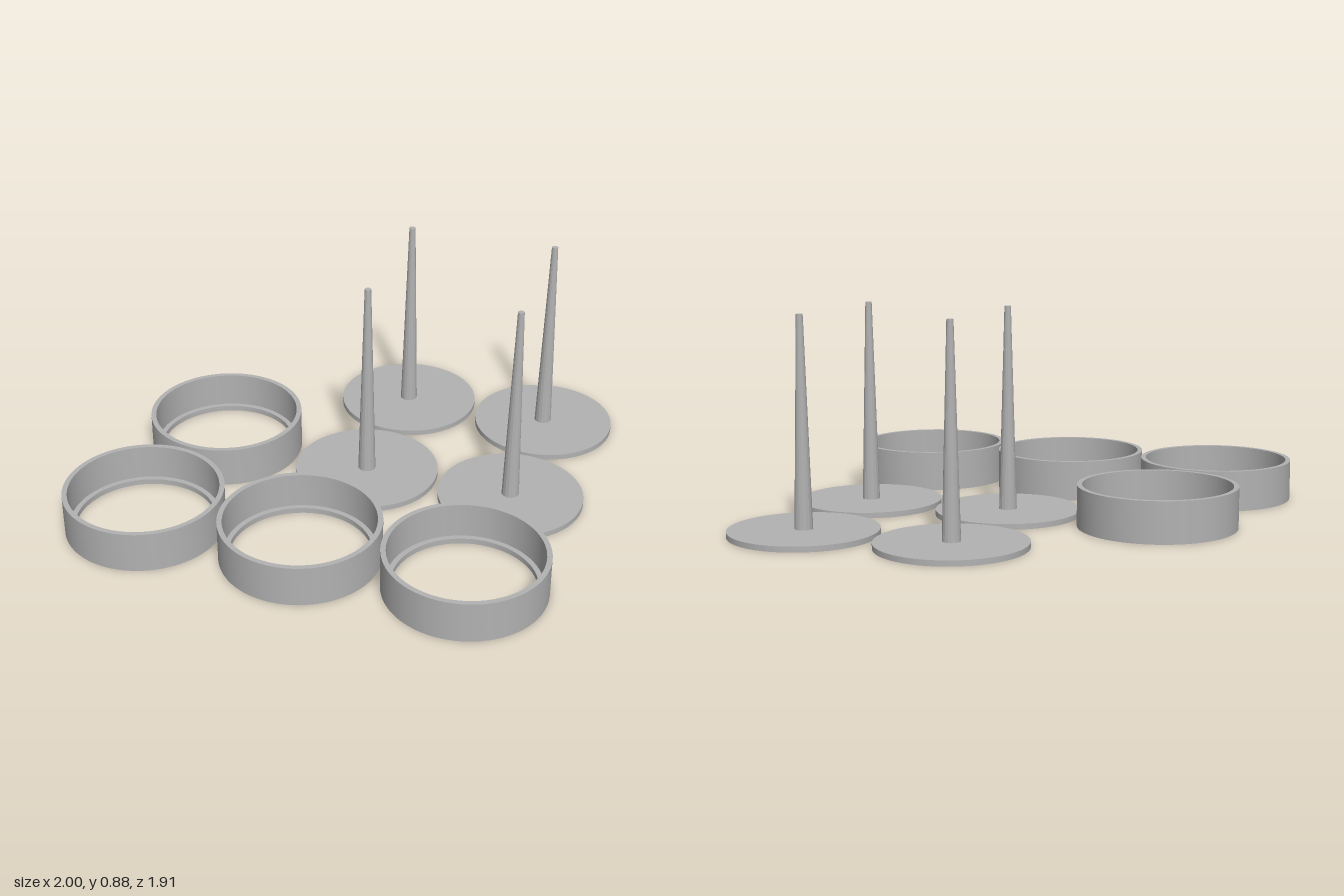
import * as THREE from 'three';
import { toCreasedNormals } from 'three/addons/utils/BufferGeometryUtils.js';

const RING_R = 0.327, RING_H = 0.171;
const PLATE_R = 0.304, PLATE_H = 0.023, TOP = 0.875;

export function createModel() {
  const model = new THREE.Group();
  const grey = new THREE.MeshStandardMaterial({ color: 0xb2b2b2 });
  grey.name = 'plain grey';

  // Ring wall with a narrow ledge inside its lower edge
  const profile = [
    [0.284, 0], [RING_R, 0], [RING_R, RING_H], [0.306, RING_H],
    [0.306, PLATE_H], [0.284, PLATE_H], [0.284, 0],
  ].map(([r, y]) => new THREE.Vector2(r, y));
  const ringGeo = toCreasedNormals(new THREE.LatheGeometry(profile, 96), 0.5);

  // Round base plate and tapered, faceted spike
  const plateGeo = new THREE.CylinderGeometry(PLATE_R, PLATE_R, PLATE_H, 96);
  plateGeo.translate(0, PLATE_H / 2, 0);
  const spikeH = TOP - PLATE_H;
  const spikeGeo = toCreasedNormals(new THREE.CylinderGeometry(0.0135, 0.037, spikeH, 16), 0.3);
  spikeGeo.translate(0, PLATE_H + spikeH / 2, 0);

  const add = (parent, geometry, name) => {
    const mesh = new THREE.Mesh(geometry, grey);
    mesh.name = name;
    parent.add(mesh);
    return mesh;
  };

  // Three rings along the front, one behind on the right
  [[-0.673, 0.625], [0, 0.625], [0.673, 0.625], [-0.586, -0.042]].forEach(([x, z], i) => {
    add(model, ringGeo, `ring${i + 1}`).position.set(x, 0, z);
  });

  // Two by two grid of spiked plates
  for (const x of [0.065, 0.696]) {
    for (const z of [-0.026, -0.654]) {
      const holder = new THREE.Group();
      holder.name = 'spikedPlate';
      add(holder, plateGeo, 'basePlate');
      add(holder, spikeGeo, 'spike');
      holder.position.set(x, 0, z);
      model.add(holder);
    }
  }
  return model;
}
